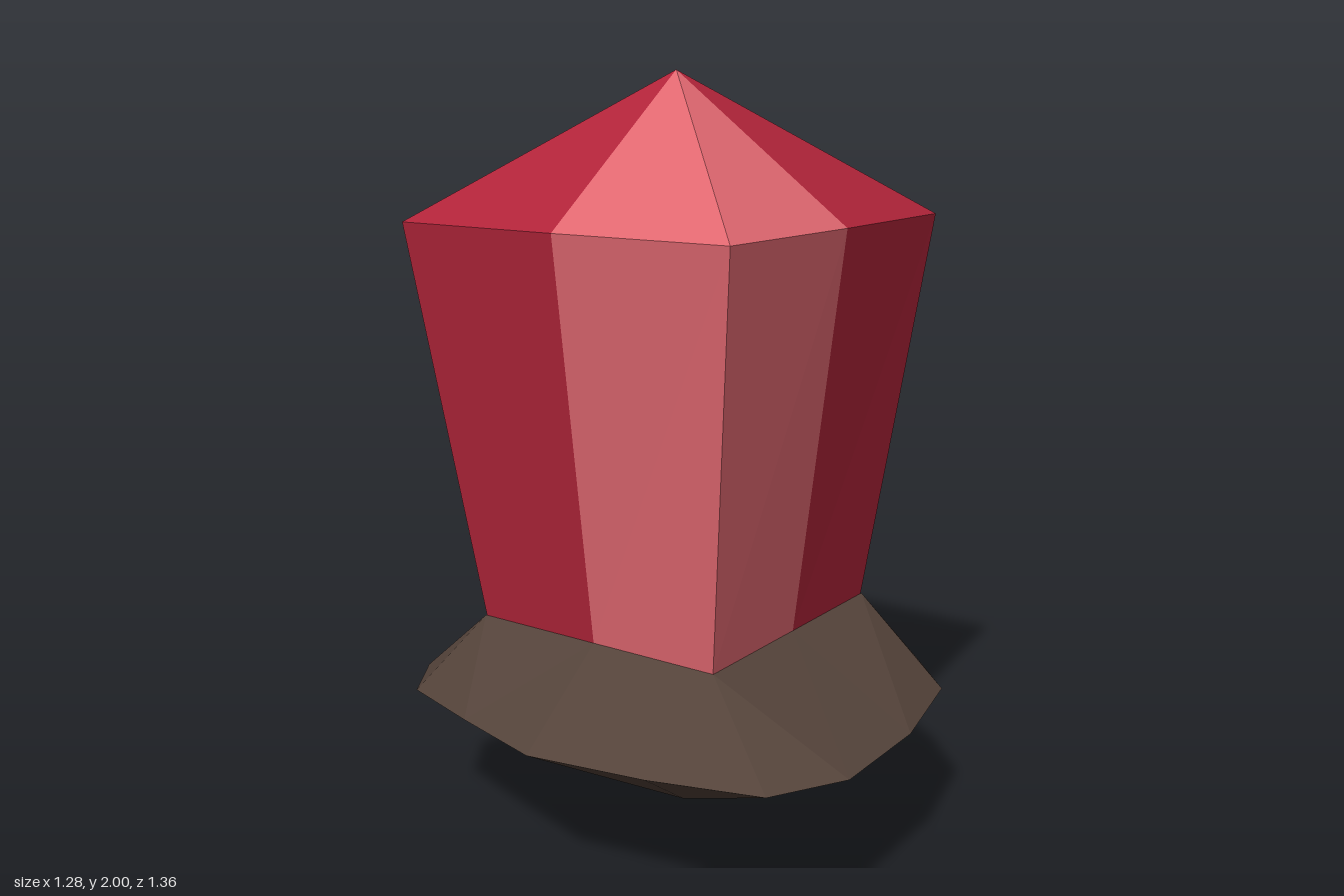
import * as THREE from 'three';

const pink = new THREE.MeshStandardMaterial({ name: 'light pink', color: 0xe06770, flatShading: true });
const red = new THREE.MeshStandardMaterial({ name: 'crimson', color: 0xb02439, flatShading: true });
const brown = new THREE.MeshStandardMaterial({ name: 'dark brown', color: 0x54433a, flatShading: true });

const CZ = -0.045; // crystal axis in z

// Flat-faced mesh from triangles of points
function facets(name, triangles, material) {
  const geo = new THREE.BufferGeometry();
  geo.setFromPoints(triangles.flat());
  geo.computeVertexNormals();
  const mesh = new THREE.Mesh(geo, material);
  mesh.name = name;
  return mesh;
}

const v = (x, y, z) => new THREE.Vector3(x, y, z);

// Triangles of a wall between two rings, clockwise from above; collapsed ones are skipped
function band(low, high, i, j) {
  return [[low[j], low[i], high[i]], [low[j], high[i], high[j]]]
    .filter(([a, b, c]) => a.distanceTo(b) > 1e-5 && b.distanceTo(c) > 1e-5 && a.distanceTo(c) > 1e-5);
}

// Eight points round a square: corners and edge middles
function squareRing(corner, middle, y) {
  return [[-1, -1], [0, -1], [1, -1], [1, 0], [1, 1], [0, 1], [-1, 1], [-1, 0]].map(([x, z]) => {
    const r = x * z === 0 ? middle : corner;
    return v(x * r, y, CZ + z * r);
  });
}

function createCrystal() {
  const group = new THREE.Group();
  group.name = 'crystal';
  const foot = squareRing(0.365, 0.367, 0.585);
  const shoulder = squareRing(0.49, 0.5, 1.632);
  const tip = v(0.003, 2, CZ - 0.003);
  // Each quadrant wraps one corner, alternating colours
  ['back right', 'back left', 'front left', 'front right'].forEach((label, q) => {
    const tris = [];
    for (const i of [(q * 2 + 7) % 8, q * 2]) {
      const j = (i + 1) % 8;
      tris.push(...band(foot, shoulder, i, j), [shoulder[j], shoulder[i], tip]);
    }
    group.add(facets(label + ' crystal quadrant', tris, q % 2 ? pink : red));
  });
  return group;
}

function createBase() {
  // Uneven rim of the rock, as x and z
  const rim = [
    [-0.32, -0.68], [0, -0.65], [0.32, -0.68], [0.54, -0.56], [0.64, -0.31], [0.64, -0.04], [0.64, 0.24],
    [0.49, 0.44], [0.32, 0.6], [0, 0.67], [-0.32, 0.675], [-0.51, 0.565], [-0.59, 0.28], [-0.64, -0.04],
    [-0.56, -0.32], [-0.48, -0.57],
  ].map(([x, z]) => v(x, 0.378 - 0.008 * x + 0.015 * z, z));
  // Collar round the crystal's foot: every rim point pulls in to a corner or an edge middle
  const snap = (c) => (Math.abs(c) > 0.2 ? Math.sign(c) * 0.367 : 0);
  const collar = rim.map((p) => v(snap(p.x), 0.587, CZ + snap(p.z)));
  const root = v(0.02, 0, -0.04);
  const top = [], under = [];
  rim.forEach((p, i) => {
    const j = (i + 1) % rim.length;
    top.push(...band(rim, collar, i, j));
    under.push([p, rim[j], root]);
  });
  const group = new THREE.Group();
  group.name = 'rock base';
  group.add(facets('rock slope', top, brown), facets('rock underside', under, brown));
  return group;
}

export function createModel() {
  const model = new THREE.Group();
  model.name = 'crystal on rock';
  model.add(createCrystal(), createBase());
  return model;
}
